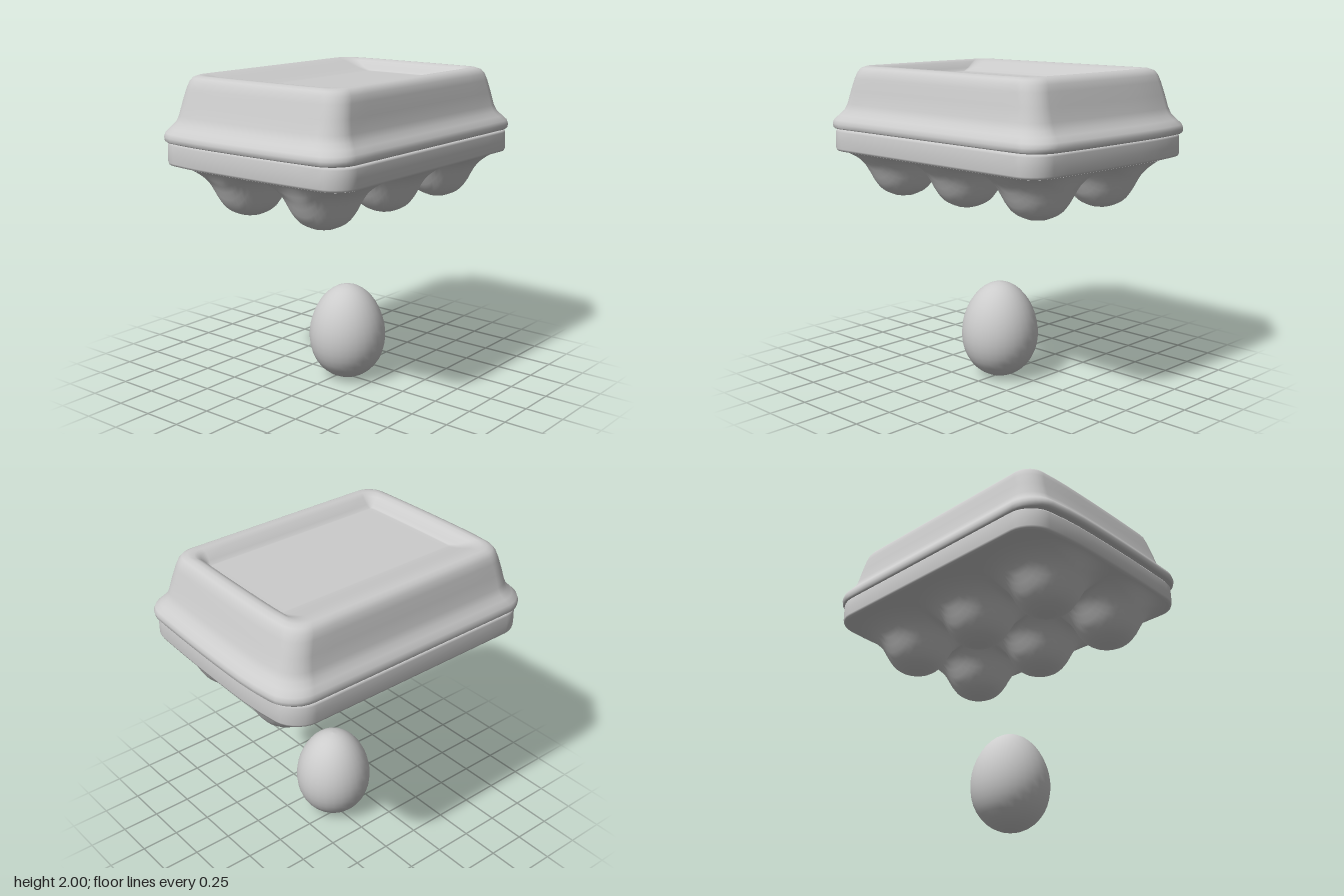
import * as THREE from 'three';

// Side walls bow outward slightly, widest just behind the middle
const bow = (z) => {
  const d = z + 0.25;
  return 1 - (d > 0 ? 0.035 * (d / 0.95) ** 2 : 0.055 * (d / 0.47) ** 2);
};

// Points of a rounded rectangle, with subdivided straight edges
function roundedRing([hx, hz, r, y, cz = 0]) {
  const arcs = [[1, 1], [-1, 1], [-1, -1], [1, -1]].map(([sx, sz], k) => {
    const arc = [];
    for (let i = 0; i <= 7; i++) {
      const a = (k + i / 7) * Math.PI / 2;
      arc.push([sx * (hx - r) + r * Math.cos(a), sz * (hz - r) + r * Math.sin(a)]);
    }
    return arc;
  });
  const pts = [];
  arcs.forEach((arc, k) => {
    pts.push(...arc);
    const a = arc[7], b = arcs[(k + 1) % 4][0];
    for (let i = 1; i < 9; i++) {
      pts.push([a[0] + (b[0] - a[0]) * i / 9, a[1] + (b[1] - a[1]) * i / 9]);
    }
  });
  return pts.map(([x, z]) => [x * bow(z + cz), y, z + cz]);
}

function buildGeometry(positions, index) {
  const g = new THREE.BufferGeometry();
  g.setAttribute('position', new THREE.Float32BufferAttribute(positions, 3));
  g.setIndex(index);
  g.computeVertexNormals();
  return g;
}

// Skin a stack of rings, ordered from the underside outward and up
function loft(rings) {
  const loops = rings.map(roundedRing), n = loops[0].length, index = [];
  for (let i = 0; i < loops.length - 1; i++) {
    for (let j = 0; j < n; j++) {
      const a = i * n + j, b = i * n + (j + 1) % n;
      index.push(a, a + n, b, b, a + n, b + n);
    }
  }
  return buildGeometry(loops.flat(2), index);
}

// Height of one cup's wall at distance r from its centre
const CUP = [[0, 1.16], [0.06, 1.164], [0.1, 1.18], [0.13, 1.195], [0.16, 1.22], [0.195, 1.27],
  [0.23, 1.34], [0.26, 1.384], [0.29, 1.412], [0.325, 1.435], [0.37, 1.453], [0.45, 1.468]];
function cupHeight(r) {
  for (let i = 1; i < CUP.length; i++) {
    const [r0, y0] = CUP[i - 1], [r1, y1] = CUP[i];
    if (r <= r1) return y0 + (y1 - y0) * (r - r0) / (r1 - r0);
  }
  return 1.468;
}

// Underside of the tray: a sheet pressed into 3 x 2 cups
function cupSheet(hx, hz, radius) {
  const nx = 72, nz = 56, positions = [], index = [];
  for (let j = 0; j <= nz; j++) {
    for (let i = 0; i <= nx; i++) {
      let x = hx * (2 * i / nx - 1), z = hz * (2 * j / nz - 1);
      // pull the corners onto the rounded outline
      const dx = Math.abs(x) - hx + radius, dz = Math.abs(z) - hz + radius;
      const d = Math.hypot(dx, dz);
      const corner = dx > 0 && dz > 0;
      if (corner && d > radius) {
        x = Math.sign(x) * (hx - radius + dx * radius / d);
        z = Math.sign(z) * (hz - radius + dz * radius / d);
      }
      const inset = Math.max(0, corner ? radius - d : radius - Math.max(dx, dz));
      x *= bow(z);
      let y = 1.468;
      for (const cx of [-0.585, 0, 0.585]) {
        for (const cz of [-0.24, 0.34]) y = Math.min(y, cupHeight(Math.hypot(x - cx, z - cz)));
      }
      y = THREE.MathUtils.lerp(1.46, y, THREE.MathUtils.smoothstep(inset, 0, 0.06));
      positions.push(x, y, z);
      if (i < nx && j < nz) {
        const a = j * (nx + 1) + i, b = a + nx + 1;
        index.push(a, a + 1, b, a + 1, b + 1, b);
      }
    }
  }
  return buildGeometry(positions, index);
}

export function createModel() {
  const model = new THREE.Group();
  model.name = 'eggCarton';
  const grey = new THREE.MeshStandardMaterial({ color: 0xcccccc, side: THREE.DoubleSide });
  grey.name = 'paleGrey';
  const add = (name, geometry) => {
    const mesh = new THREE.Mesh(geometry, grey);
    mesh.name = name;
    model.add(mesh);
    return mesh;
  };

  // Lid: flared lip, sloping walls, rounded rim and sunken top panel
  add('lid', loft([
    [0.9, 0.66, 0.12, 1.606], [0.945, 0.71, 0.15, 1.604], [0.957, 0.72, 0.16, 1.612],
    [0.96, 0.722, 0.16, 1.635], [0.952, 0.715, 0.16, 1.66], [0.92, 0.69, 0.15, 1.69],
    [0.89, 0.665, 0.14, 1.72], [0.87, 0.648, 0.13, 1.76], [0.845, 0.632, 0.12, 1.84],
    [0.82, 0.617, 0.12, 1.92], [0.805, 0.605, 0.12, 1.96], [0.785, 0.586, 0.11, 1.985],
    [0.755, 0.56, 0.1, 1.997], [0.725, 0.525, 0.09, 1.998, -0.005], [0.695, 0.475, 0.07, 1.985, 0.01],
    [0.665, 0.405, 0.04, 1.945, 0.045], [0.65, 0.36, 0.02, 1.927, 0.068],
    [0.64, 0.35, 0.02, 1.925, 0.07], [0.6, 0.31, 0.02, 1.925, 0.07], [0.001, 0.001, 0.0005, 1.925, 0.07],
  ]));

  // Tray: upright band around the cups
  add('trayBand', loft([
    [0.91, 0.695, 0.13, 1.46], [0.926, 0.711, 0.145, 1.465], [0.932, 0.716, 0.15, 1.478],
    [0.932, 0.717, 0.15, 1.53], [0.93, 0.716, 0.15, 1.585], [0.922, 0.708, 0.15, 1.598],
    [0.89, 0.68, 0.13, 1.6],
  ]));
  add('trayCups', cupSheet(0.912, 0.697, 0.13));

  // Loose egg below the carton, blunt end down
  const profile = [];
  for (let i = 0; i <= 20; i++) {
    const t = Math.PI * i / 20;
    profile.push(new THREE.Vector2(0.247 * Math.sin(t) * (1 + 0.09 * Math.cos(t)), 0.313 * (1 - Math.cos(t))));
  }
  profile[0].x = profile[20].x = 0;
  add('egg', new THREE.LatheGeometry(profile, 28)).position.z = 0.05;

  return model;
}
